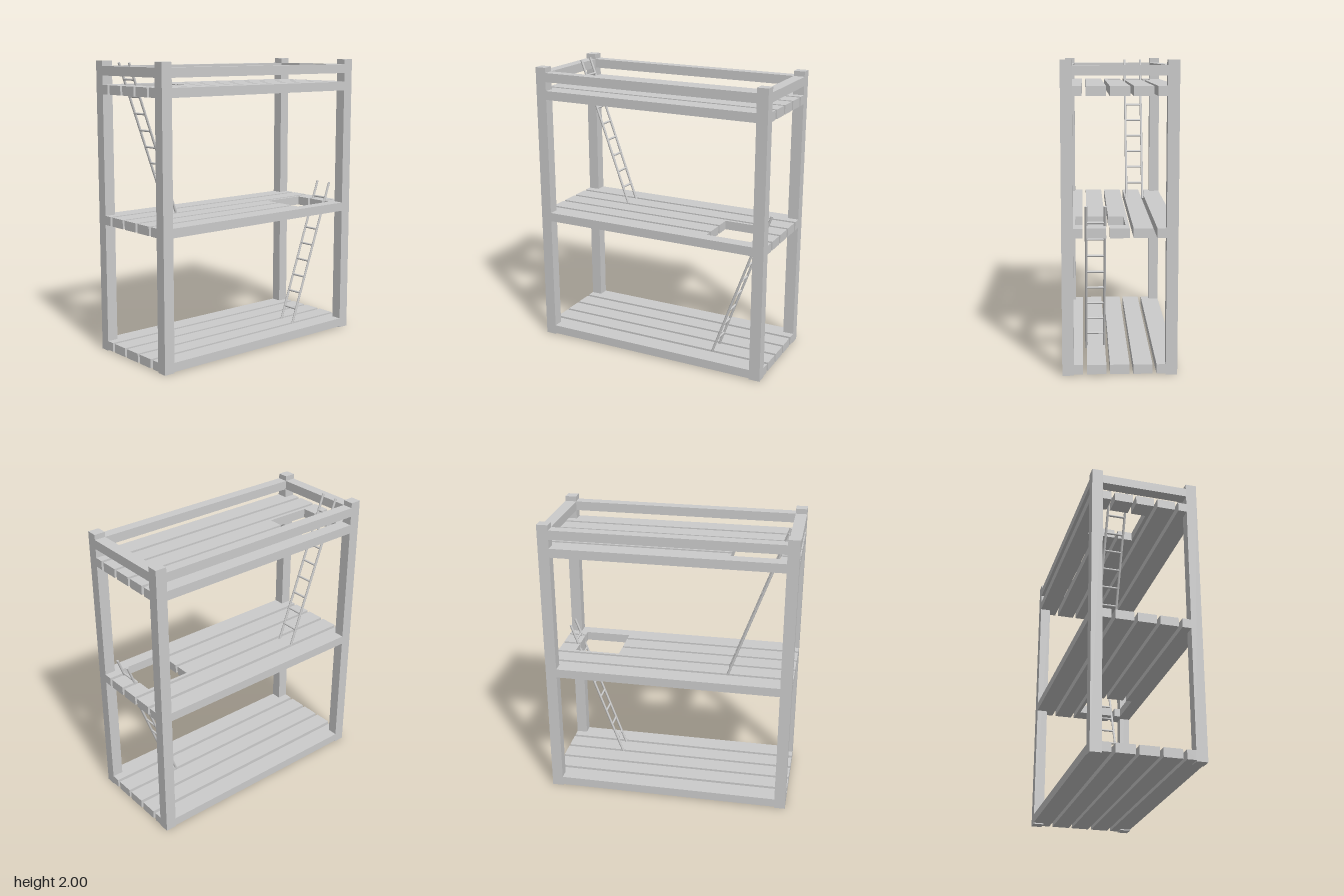
import * as THREE from 'three';

const X = 0.855, Z = 0.368;       // outer half width and half depth
const XI = 0.778, ZI = 0.294;     // inner faces of the posts
const mat = new THREE.MeshStandardMaterial({ color: 0xcccccc, flatShading: true });
const smooth = new THREE.MeshStandardMaterial({ color: 0xcccccc });

function add(parent, name, geometry, material = mat) {
  const mesh = new THREE.Mesh(geometry, material);
  mesh.name = name;
  parent.add(mesh);
  return mesh;
}

// Box given by its opposite corners
function box(parent, name, a, b) {
  const size = b.map((v, i) => v - a[i]);
  add(parent, name, new THREE.BoxGeometry(...size))
    .position.set(...a.map((v, i) => v + size[i] / 2));
}

// Extrudes a plank piece from columns {x0, x1, lo, hi}
function plankPiece(parent, columns, top) {
  const lower = columns.flatMap(c => [[c.x0, c.lo], [c.x1, c.lo]]);
  const upper = columns.flatMap(c => [[c.x0, c.hi], [c.x1, c.hi]]).reverse();
  const points = [...lower, ...upper]
    .filter((p, i, all) => i === 0 || p[0] !== all[i - 1][0] || p[1] !== all[i - 1][1])
    .map(p => new THREE.Vector2(...p));
  const geometry = new THREE.ExtrudeGeometry(new THREE.Shape(points), { depth: 0.062, bevelEnabled: false });
  geometry.rotateX(Math.PI / 2);
  add(parent, 'plank', geometry).position.y = top;
}

// Five planks, notched around the posts and cut by an optional hatch [x0, x1, z0, z1]
function deck(parent, name, top, hatch) {
  const group = new THREE.Group();
  group.name = name;
  parent.add(group);
  const edges = [[-Z, -0.235], [-0.21, -0.086], [-0.063, 0.063], [0.086, 0.21], [0.235, Z]];
  const xs = hatch ? [-X, -XI, hatch[0], hatch[1], XI, X] : [-X, -XI, XI, X];
  for (const [z0, z1] of edges) {
    let piece = [];
    for (let i = 0; i < xs.length - 1; i++) {
      let lo = z0, hi = z1;
      if (i === 0 || i === xs.length - 2) {
        lo = Math.max(lo, -ZI);
        hi = Math.min(hi, ZI);
      }
      if (hatch && xs[i] === hatch[0] && hatch[2] < hi && hatch[3] > lo) {
        if (hatch[2] <= lo) lo = hatch[3];
        else hi = hatch[2];
      }
      if (lo < hi) piece.push({ x0: xs[i], x1: xs[i + 1], lo, hi });
      else {
        plankPiece(group, piece, top);
        piece = [];
      }
    }
    plankPiece(group, piece, top);
  }
}

// Round bar between two points
function bar(parent, name, a, b, r) {
  const from = new THREE.Vector3(...a), to = new THREE.Vector3(...b);
  const dir = to.clone().sub(from);
  const mesh = add(parent, name, new THREE.CylinderGeometry(r, r, dir.length(), 12), smooth);
  mesh.position.copy(from).lerp(to, 0.5);
  mesh.quaternion.setFromUnitVectors(new THREE.Vector3(0, 1, 0), dir.normalize());
}

// Leaning ladder; side is +1 or -1 along x
function ladder(parent, name, side, footX, footY, z) {
  const group = new THREE.Group();
  group.name = name;
  parent.add(group);
  const height = 1.035, run = 0.372;
  const at = (h, dz) => [side * (footX + run * h / height), footY + h, z + dz];
  for (const dz of [-0.06, 0.06]) bar(group, 'ladderRail', at(0, dz), at(height, dz), 0.0085);
  for (let i = 0; i < 8; i++) {
    const h = 0.115 + i * 0.1155;
    bar(group, 'rung', at(h, -0.06), at(h, 0.06), 0.0075);
  }
}

export function createModel() {
  const model = new THREE.Group();
  model.name = 'shelfRack';

  // Corner posts
  for (const sx of [-1, 1]) for (const sz of [-1, 1]) {
    add(model, 'post', new THREE.BoxGeometry(X - XI, 2, Z - ZI))
      .position.set(sx * (X + XI) / 2, 1, sz * (Z + ZI) / 2);
  }

  // Top guard rails between the posts
  const y0 = 1.902, y1 = 1.965;
  box(model, 'frontRail', [-XI, y0, ZI], [XI, y1, Z]);
  box(model, 'backRail', [-XI, y0, -Z], [XI, y1, -ZI]);
  box(model, 'leftRail', [XI, y0, -ZI], [X, y1, ZI]);
  box(model, 'rightRail', [-X, y0, -ZI], [-XI, y1, ZI]);

  // Three decks, the upper two with a ladder hatch
  deck(model, 'lowerDeck', 0.07);
  deck(model, 'middleDeck', 0.955, [0.41, 0.73, -0.04, 0.28]);
  deck(model, 'upperDeck', 1.84, [-0.73, -0.41, -0.28, 0.04]);

  ladder(model, 'lowerLadder', 1, 0.43, 0.052, 0.152);
  ladder(model, 'upperLadder', -1, 0.403, 0.953, -0.157);
  return model;
}
